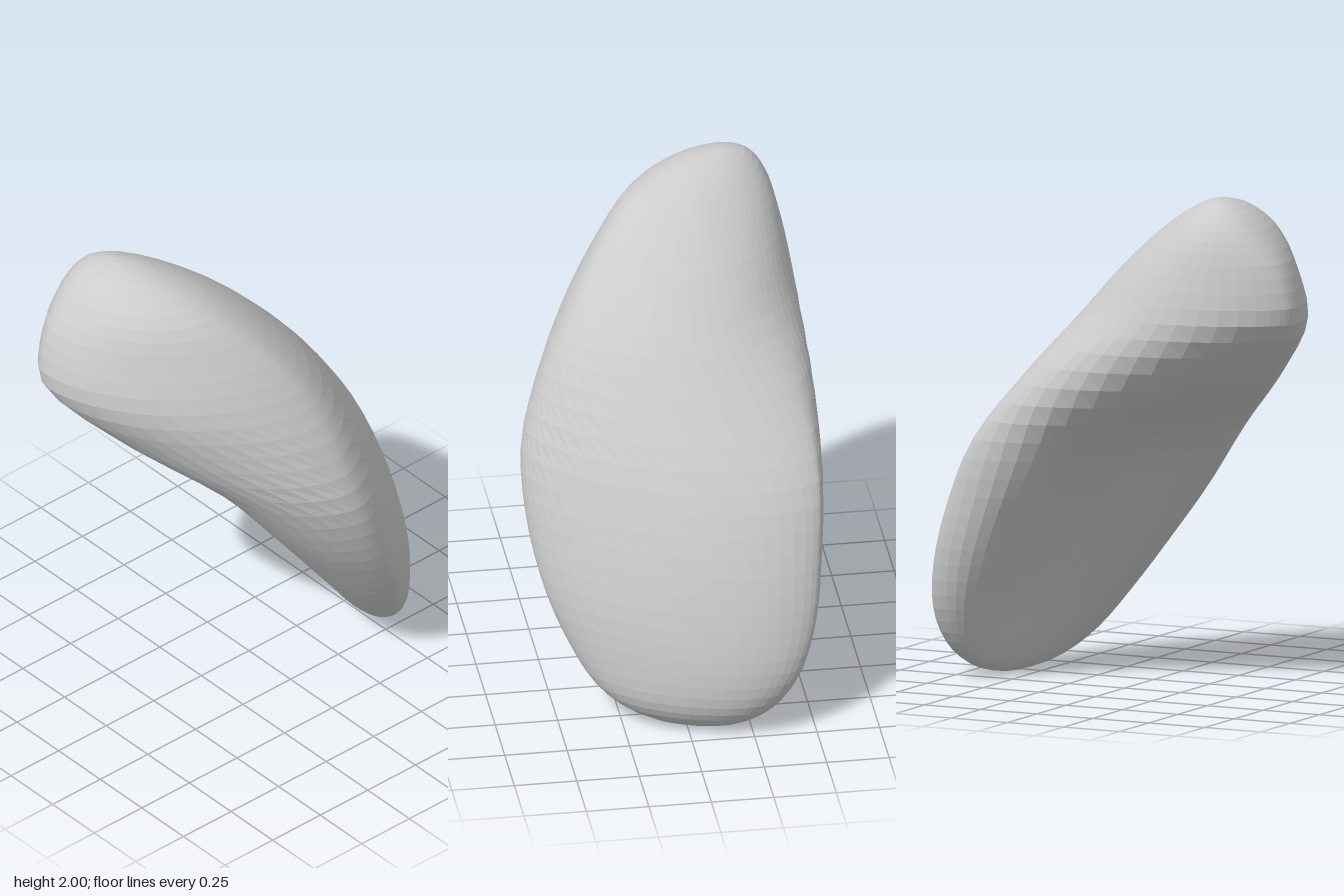
import * as THREE from 'three';

// Horizontal slices from bottom to top at y = 1 - cos(k * PI / 12):
// [xMin, xMax, zMin, zMax, skew of the oval, push toward the back left corner]
const slices = [
  [0.61, 0.61, -0.06, -0.06, -0.5, 0],
  [0.50, 0.70, -0.23, 0.17, -0.55, 0],
  [0.39, 0.775, -0.36, 0.335, -0.57, 0],
  [0.265, 0.795, -0.455, 0.44, -0.57, 0.01],
  [0.105, 0.765, -0.515, 0.525, -0.52, 0.025],
  [-0.08, 0.695, -0.55, 0.575, -0.47, 0.035],
  [-0.285, 0.58, -0.575, 0.58, -0.36, 0.055],
  [-0.58, 0.40, -0.585, 0.505, -0.05, 0.08],
  [-0.785, 0.21, -0.565, 0.39, 0.21, 0.07],
  [-0.765, 0.02, -0.53, 0.255, 0.28, 0.05],
  [-0.67, -0.165, -0.485, 0.10, 0.28, 0.015],
  [-0.56, -0.33, -0.41, -0.10, 0.3, 0],
  [-0.45, -0.45, -0.30, -0.30, 0.3, 0],
];

// One smooth curve for each column of the slice table
const tracks = [0, 1, 2, 3, 4, 5].map(
  (c) => new THREE.SplineCurve(slices.map((s) => new THREE.Vector2(s[c], 0)))
);

export function createModel() {
  const geometry = new THREE.SphereGeometry(1, 56, 40);
  const pos = geometry.attributes.position;
  const uv = geometry.attributes.uv;

  // Reshape each ring of the sphere into a skewed oval
  for (let i = 0; i < pos.count; i++) {
    const t = THREE.MathUtils.clamp(uv.getY(i), 0, 1);
    const [x0, x1, z0, z1, skew, push] = tracks.map((track) => track.getPoint(t).x);
    const a = Math.atan2(pos.getZ(i), pos.getX(i));
    const y = 1 - Math.cos(t * Math.PI);
    const rx = (x1 - x0) / 2;
    const rz = (z1 - z0) / 2;
    const q = Math.sqrt(1 - skew * skew);
    let x = (x0 + x1) / 2 + rx * Math.cos(a);
    let z = (z0 + z1) / 2 + rz * (skew * Math.cos(a) + q * Math.sin(a));

    // Fuller back left corner and flatter front right, keeping x and z extents
    const n = Math.atan2(rx * Math.sin(a) / q, rz * (Math.cos(a) - skew * Math.sin(a) / q));
    const f = n + Math.PI / 4;
    const out = (push / 2) * (Math.cos(f) + Math.cos(3 * f));
    const along = (-push / 2) * (Math.sin(f) + 3 * Math.sin(3 * f));
    x += out * Math.cos(n) - along * Math.sin(n);
    z += out * Math.sin(n) + along * Math.cos(n);

    // Hollow along the underside, from the rear rim to the front rim
    const middle = -0.75 * Math.PI - Math.asin(skew) / 2;
    const turn = Math.atan2(Math.sin(a - middle), Math.cos(a - middle));
    const across = Math.cos(Math.min(1.5 * Math.abs(turn), Math.PI / 2)) ** 2;
    const dent = 0.15 * across * Math.sin((Math.PI * Math.min(y, 1.5)) / 1.5);
    x += 0.8 * dent;
    z += 0.6 * dent;
    pos.setXYZ(i, x, y, z);
  }
  geometry.computeVertexNormals();

  const body = new THREE.Mesh(
    geometry,
    new THREE.MeshStandardMaterial({ color: 0xcccccc, flatShading: true })
  );
  body.name = 'curvedBody';

  const group = new THREE.Group();
  group.name = 'curvedLobe';
  group.add(body);
  return group;
}
